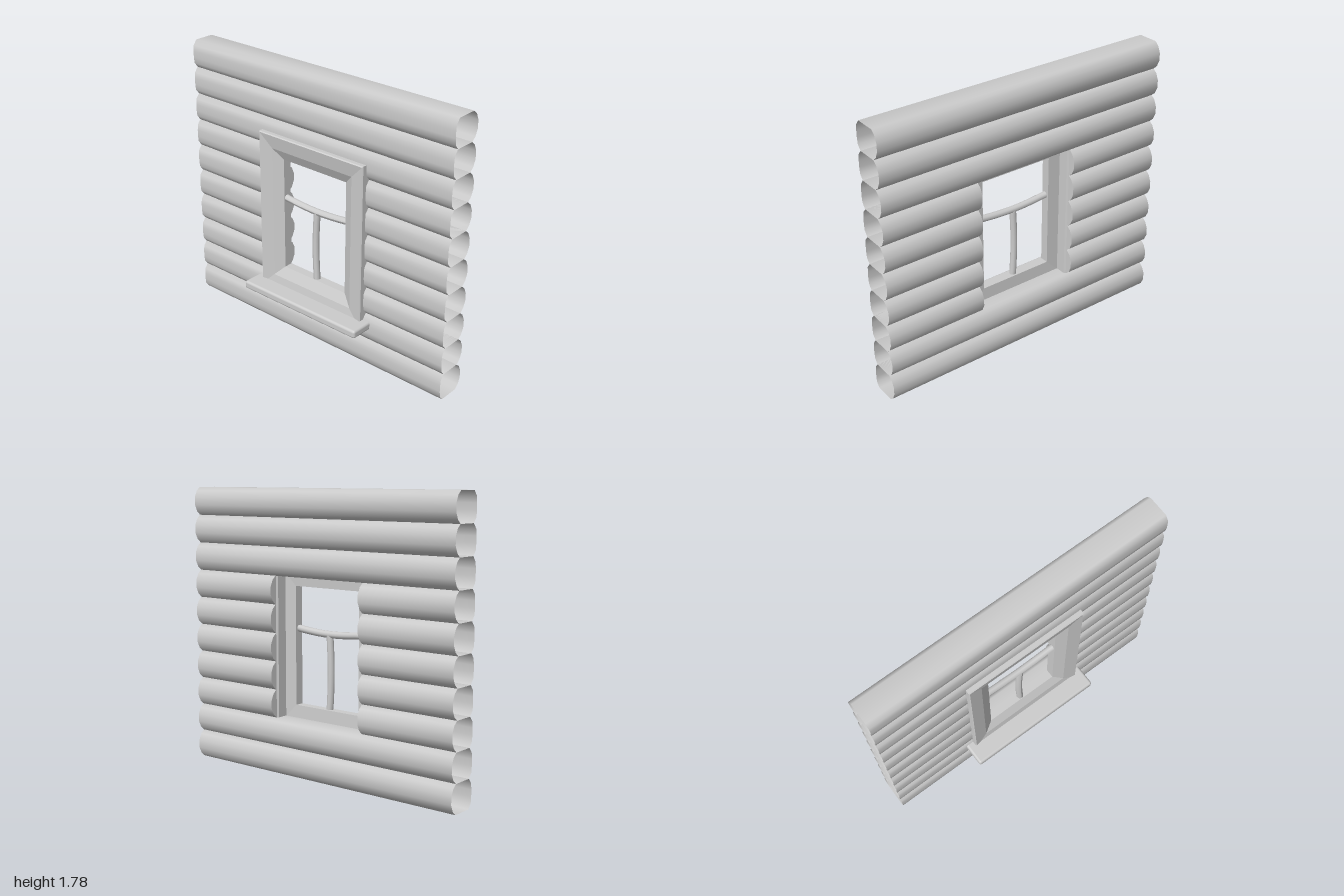
import * as THREE from 'three';
import { RoundedBoxGeometry } from 'three/addons/geometries/RoundedBoxGeometry.js';

// Double sided, because the logs are hollow and open at the wall ends
const material = new THREE.MeshStandardMaterial({ color: 0xcccccc, side: THREE.DoubleSide });

const PITCH = 0.1785; // height of one log row
const HALF = PITCH / 2;
const OPENING = 0.34; // half width of the gap in the wall

// Log cross-section as [z, y]: nearly flat front, flat top and bottom, round back
const upperHalf = [[0.03, 0.02], [0.026, 0.058], [0.002, HALF], [-0.13, HALF], [-0.156, 0.066], [-0.174, 0.025]];
const logProfile = [...upperHalf, ...upperHalf.map(([z, y]) => [z, -y]).reverse()];

function addMesh(parent, name, geometry) {
  const mesh = new THREE.Mesh(geometry, material);
  mesh.name = name;
  parent.add(mesh);
  return mesh;
}

// Smooth open tube with the log cross-section, from x0 to x1
function logShell(x0, x1) {
  const positions = [], index = [];
  const n = logProfile.length;
  logProfile.forEach(([z, y], i) => {
    const j = (i + 1) % n;
    positions.push(x0, y, z, x1, y, z);
    index.push(2 * i, 2 * i + 1, 2 * j + 1, 2 * i, 2 * j + 1, 2 * j);
  });
  // The profile runs from the front over the top, so each quad faces outwards
  const geometry = new THREE.BufferGeometry();
  geometry.setAttribute('position', new THREE.Float32BufferAttribute(positions, 3));
  geometry.setIndex(index);
  geometry.computeVertexNormals();
  return geometry;
}

// Flat end face of a log
function logEnd() {
  const shape = new THREE.Shape(logProfile.map(([z, y]) => new THREE.Vector2(-z, y)));
  return new THREE.ShapeGeometry(shape).rotateY(Math.PI / 2);
}

// One mitred side of the window frame, swept between two corners
function frameSide(profile, cornerA, cornerB) {
  const positions = [];
  profile.forEach((p, i) => {
    const q = profile[(i + 1) % profile.length];
    const a = cornerA(p), b = cornerB(p), c = cornerB(q), d = cornerA(q);
    positions.push(...a, ...b, ...c, ...a, ...c, ...d);
  });
  const geometry = new THREE.BufferGeometry();
  geometry.setAttribute('position', new THREE.Float32BufferAttribute(positions, 3));
  geometry.computeVertexNormals();
  return geometry;
}

// Glazing bar along y whose middle is pushed sideways by bend
function bentBar(length, bend) {
  const geometry = new THREE.CylinderGeometry(0.022, 0.022, length, 10, 10);
  const p = geometry.attributes.position;
  for (let i = 0; i < p.count; i++) {
    p.setX(i, p.getX(i) + bend * Math.cos(p.getY(i) / length * Math.PI));
  }
  geometry.computeVertexNormals();
  return geometry;
}

export function createModel() {
  const model = new THREE.Group();
  model.name = 'logWallWithWindow';

  // Log wall: rows 2 to 6 are split by the window opening
  const wall = new THREE.Group();
  wall.name = 'logWall';
  model.add(wall);
  for (let row = 0; row < 10; row++) {
    const y = (row + 0.5) * PITCH;
    if (row >= 2 && row <= 6) {
      addMesh(wall, 'rightLog', logShell(-1, -OPENING)).position.y = y;
      addMesh(wall, 'rightLogEnd', logEnd()).position.set(-OPENING, y, 0);
      addMesh(wall, 'leftLog', logShell(OPENING, 1)).position.y = y;
      addMesh(wall, 'leftLogEnd', logEnd()).position.set(OPENING, y, 0);
    } else {
      addMesh(wall, 'fullLog', logShell(-1, 1)).position.y = y;
    }
  }

  // Window frame: profile as [inset from outer edge, z], from outside to inside
  const profile = [
    [0, 0.056], [0.006, 0.062], [0.095, 0.046], [0.162, 0.012], [0.162, -0.045],
    [0.08, -0.05], [0.08, -0.117], [0.07, -0.127], [0.012, -0.127], [0, -0.115],
  ];
  const corner = (sx, top) => ([d, z]) => [sx * (0.41 - d), top ? 1.348 - d : 0.275 + d, z];
  const corners = [corner(-1, false), corner(1, false), corner(1, true), corner(-1, true)];
  const frame = new THREE.Group();
  frame.name = 'windowFrame';
  model.add(frame);
  ['bottomRail', 'leftJamb', 'topRail', 'rightJamb'].forEach((name, k) => {
    addMesh(frame, name, frameSide(profile, corners[k], corners[(k + 1) % 4]));
  });

  // Glazing bars, slightly bent
  addMesh(frame, 'crossBar', bentBar(0.52, -0.018).rotateZ(Math.PI / 2))
    .position.set(0, 0.92, -0.012);
  frame.getObjectByName('crossBar').rotation.x = 0;
  addMesh(frame, 'uprightBar', bentBar(0.47, -0.01)).position.set(0.002, 0.665, -0.012);

  // Window sill
  addMesh(model, 'windowSill', new RoundedBoxGeometry(0.922, 0.054, 0.206, 3, 0.016))
    .position.set(0, 0.294, 0.071);

  return model;
}
